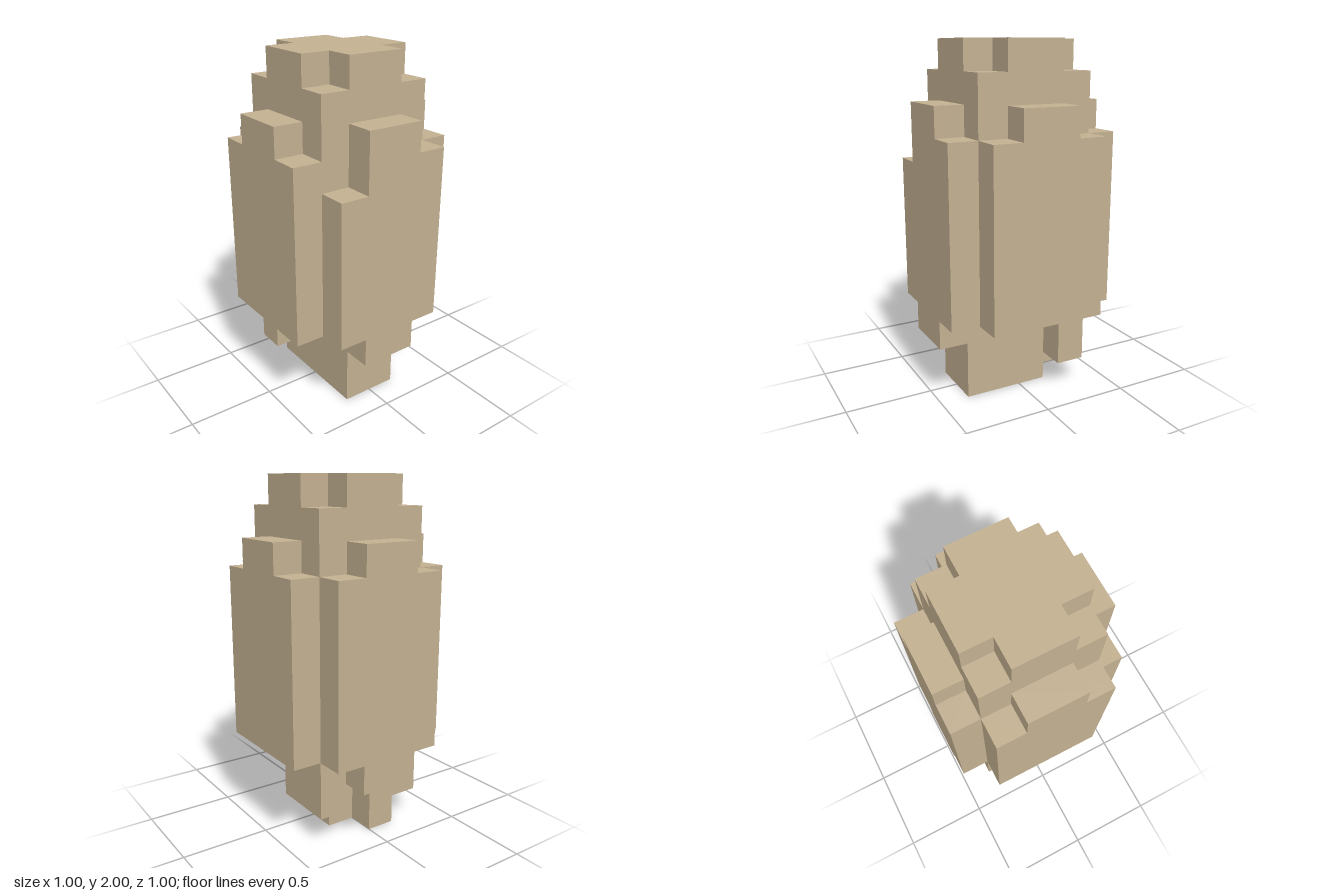
import * as THREE from 'three';

const U = 1 / 6; // edge of one block

export function createModel() {
  const model = new THREE.Group();
  model.name = 'blockFigure';
  const tan = new THREE.MeshStandardMaterial({ color: 0xc3b091 });
  tan.name = 'tan';

  function add(name, geometry) {
    geometry.scale(U, U, U);
    const mesh = new THREE.Mesh(geometry, tan);
    mesh.name = name;
    model.add(mesh);
    return mesh;
  }

  // Box given by its limits, in blocks
  function box(name, [x0, x1], [y0, y1], [z0, z1]) {
    const g = new THREE.BoxGeometry(x1 - x0, y1 - y0, z1 - z0);
    g.translate((x0 + x1) / 2, (y0 + y1) / 2, (z0 + z1) / 2);
    return add(name, g);
  }

  // Outline with a straight extrusion towards +z
  function extrude(outline, depth) {
    const shape = new THREE.Shape(outline.map(([a, b]) => new THREE.Vector2(a, b)));
    return new THREE.ExtrudeGeometry(shape, { depth, bevelEnabled: false });
  }

  // Floor plan [x, z] raised from y0 to y1
  function plan(name, points, y0, y1) {
    const g = extrude(points.map(([x, z]) => [x, -z]), y1 - y0);
    g.rotateX(-Math.PI / 2).translate(0, y0, 0);
    return add(name, g);
  }

  // Raised wall panel: stepped top, optional lower tab, turned to its side
  function panel(name, angle, leftTop, bottom) {
    const points = [[-2, 3], [-1, 3]];
    if (bottom < 3) points.push([-1, bottom], [1, bottom], [1, 3]);
    points.push([2, 3], [2, 9], [1, 9], [1, 10], [-1, 10], [-1, leftTop], [-2, leftTop]);
    const g = extrude(points, 1);
    g.translate(0, 0, 2).rotateY(angle);
    return add(name, g);
  }

  // Body and cross-shaped crown
  box('body', [-2, 2], [3, 11], [-2, 2]);
  plan('crown', [
    [-1, -2], [1, -2], [1, -1], [2, -1], [2, 1], [1, 1],
    [1, 2], [-1, 2], [-1, 1], [-2, 1], [-2, -1], [-1, -1],
  ], 11, 12);

  // Panels on the four sides
  panel('frontPanel', 0, 8, 2);
  panel('leftPanel', Math.PI / 2, 9, 3);
  panel('backPanel', Math.PI, 9, 2);
  panel('rightPanel', -Math.PI / 2, 9, 3);

  // Base with one rear corner missing
  plan('base', [[-1, -2], [0, -2], [0, -1], [1, -1], [1, 2], [-1, 2]], 0, 3);

  // Hanging blocks at the rear corners
  box('leftRearBlock', [1, 2], [1, 3], [-2, -1]);
  box('rightRearBlock', [-2, -1], [1, 3], [-2, -1]);

  return model;
}
